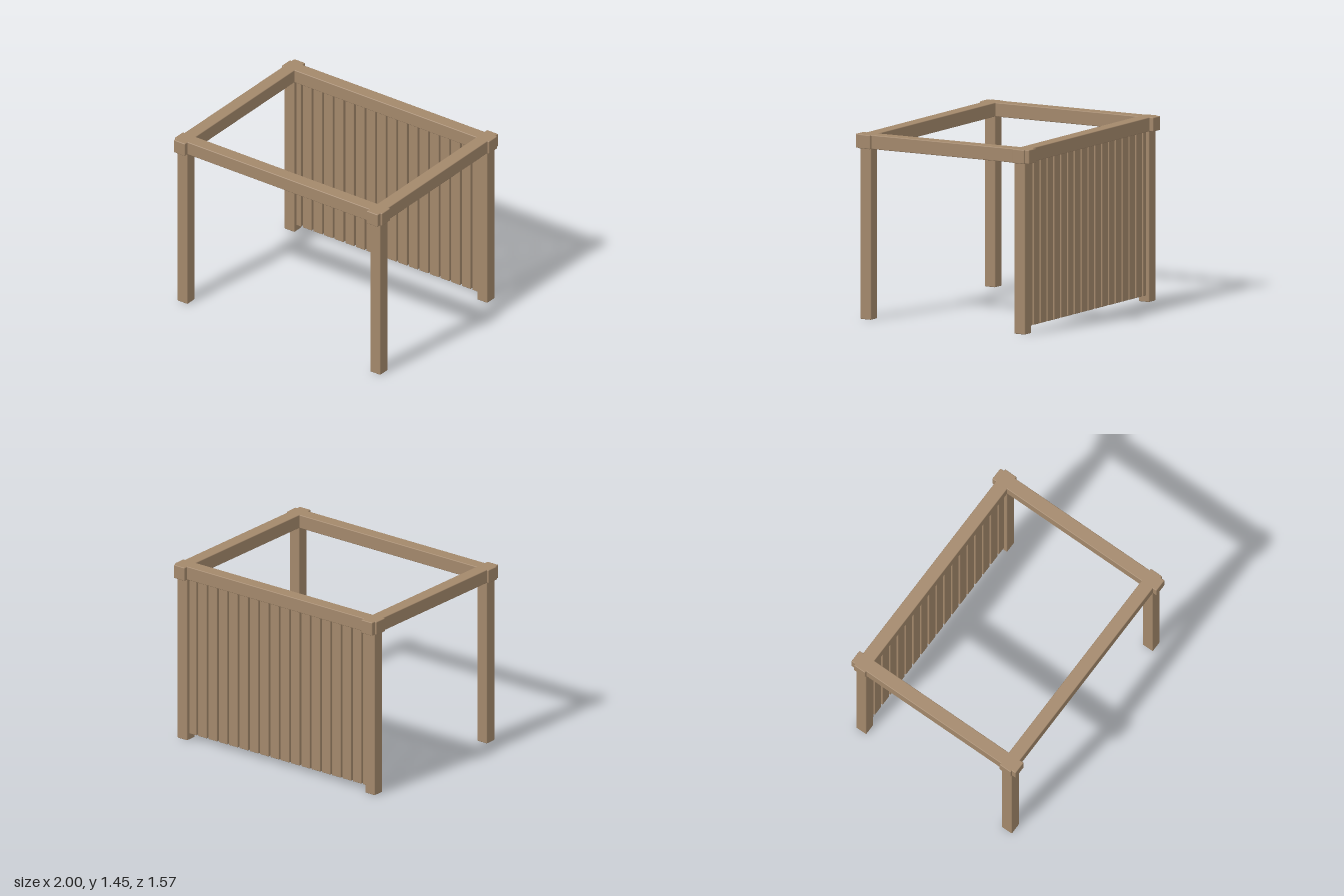
import * as THREE from 'three';
import { RoundedBoxGeometry } from 'three/addons/geometries/RoundedBoxGeometry.js';

export function createModel() {
  const model = new THREE.Group();
  model.name = 'pergola';
  const wood = new THREE.MeshStandardMaterial({ color: 0xa3886b });
  wood.name = 'wood';

  // Timber with slightly eased edges, centred on x and z and rising from y0 to y1
  function timber(name, w, d, x, z, y0, y1, ease = 0.006) {
    const mesh = new THREE.Mesh(new RoundedBoxGeometry(w, y1 - y0, d, 1, ease), wood);
    mesh.name = name;
    mesh.position.set(x, (y0 + y1) / 2, z);
    model.add(mesh);
  }

  const postX = 0.93, postZ = 0.698;
  const beamBottom = 1.343, beamTop = 1.453;

  // Four corner posts
  for (const sx of [-1, 1]) {
    for (const sz of [-1, 1]) {
      timber(`${sz > 0 ? 'front' : 'back'}${sx > 0 ? 'Left' : 'Right'}Post`,
        0.097, 0.097, sx * postX, sz * postZ, 0, beamBottom + 0.01);
    }
  }

  // Crossing top beams, each overshooting the corner a little
  for (const s of [-1, 1]) {
    timber(s > 0 ? 'frontBeam' : 'backBeam', 2, 0.108, 0, s * postZ, beamBottom, beamTop);
    timber(s > 0 ? 'leftBeam' : 'rightBeam', 0.108, 1.574, s * postX, 0, beamBottom, beamTop);
  }

  // Vertical slats closing the back, hung between the posts clear of the ground
  for (let i = 0; i < 18; i++) {
    timber(`slat${i + 1}`, 0.086, 0.04, -0.882 + i * 0.1022, -postZ, 0.05, beamBottom + 0.01, 0.004);
  }

  return model;
}
